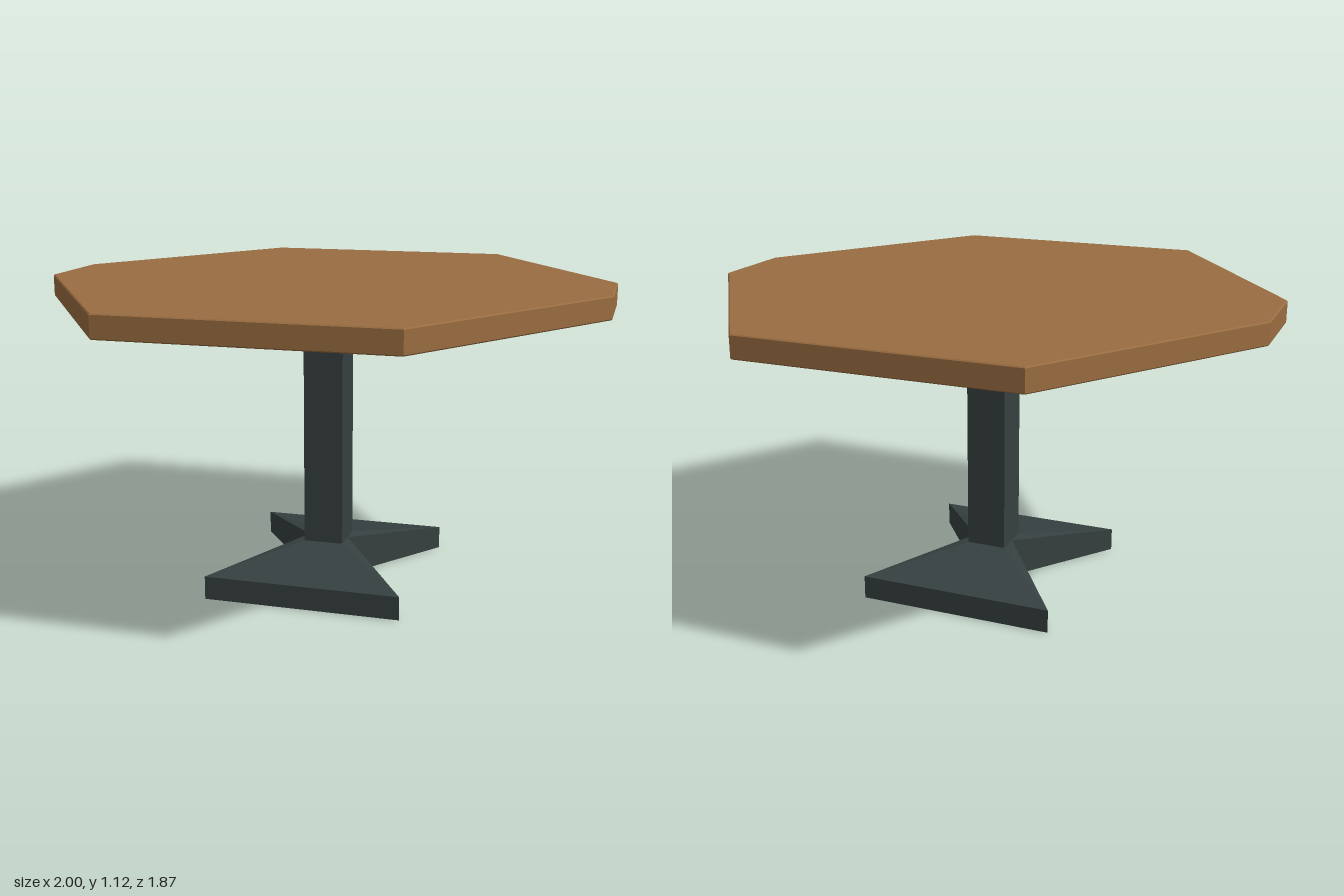
import * as THREE from 'three';

export function createModel() {
  const wood = new THREE.MeshStandardMaterial({ color: 0x9a6d41 });
  wood.name = 'warm wood';
  const metal = new THREE.MeshStandardMaterial({ color: 0x364040, side: THREE.DoubleSide });
  metal.name = 'dark metal';

  const table = new THREE.Group();
  table.name = 'table';
  const add = (name, geometry, material) => {
    const mesh = new THREE.Mesh(geometry, material);
    mesh.name = name;
    table.add(mesh);
    return mesh;
  };

  // Stretched octagonal top with finely eased edges
  const ease = 0.004;
  const outline = [[1, 0.16], [0.475, 0.935], [-0.475, 0.935], [-1, 0.16],
    [-1, -0.16], [-0.475, -0.935], [0.475, -0.935], [1, -0.16]];
  const shape = new THREE.Shape(outline.map(([x, z]) => new THREE.Vector2(x, z)));
  const topGeometry = new THREE.ExtrudeGeometry(shape, {
    depth: 0.08 - 2 * ease, bevelEnabled: true, bevelThickness: ease,
    bevelSize: ease, bevelOffset: -ease, bevelSegments: 1,
  });
  topGeometry.rotateX(-Math.PI / 2);
  add('tabletop', topGeometry, wood).position.y = 1.035 + ease;

  // Square column, ending inside the hollow base
  const column = add('column', new THREE.BoxGeometry(0.145, 0.94, 0.148), metal);
  column.position.y = 0.1 + 0.94 / 2;

  // Hollow flared foot: low outer edge rising to the column, pinched at the waist
  const faces = [];
  const tri = (...points) => points.forEach((p) => faces.push(...p));
  const quad = (a, b, c, d) => { tri(a, b, c); tri(a, c, d); };
  const edge = (s, y) => [s * 0.355, y, 0.375];
  const waist = (s, y) => [s * 0.075, y, 0];
  const ridge = (s) => [s * 0.072, 0.145, 0.074];
  const low = 0.085, high = 0.145;
  quad(edge(-1, 0), edge(1, 0), edge(1, low), edge(-1, low));
  quad(edge(1, 0), waist(1, 0), waist(1, high), edge(1, low));
  quad(waist(-1, 0), edge(-1, 0), edge(-1, low), waist(-1, high));
  quad(edge(-1, low), edge(1, low), ridge(1), ridge(-1));
  tri(edge(1, low), waist(1, high), ridge(1));
  tri(edge(-1, low), ridge(-1), waist(-1, high));
  const footGeometry = new THREE.BufferGeometry();
  footGeometry.setAttribute('position', new THREE.Float32BufferAttribute(faces, 3));
  footGeometry.computeVertexNormals();

  add('frontFoot', footGeometry, metal);
  add('backFoot', footGeometry, metal).rotation.y = Math.PI;

  return table;
}
